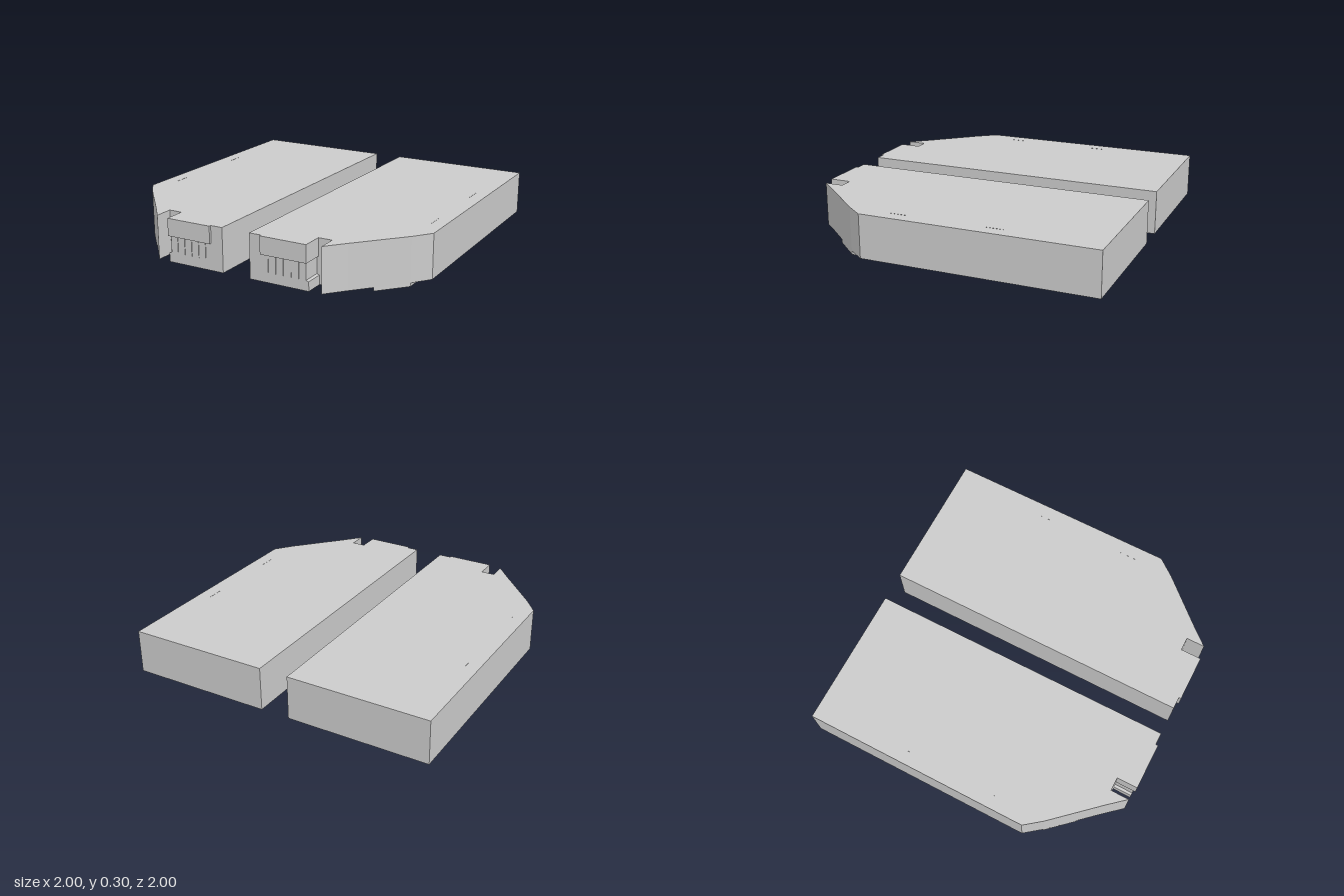
import * as THREE from 'three';

const material = new THREE.MeshStandardMaterial({ color: 0xcccccc, flatShading: true });

export function createModel() {
  const root = new THREE.Group();

  for (const s of [1, -1]) {
    const half = new THREE.Group();
    half.name = s > 0 ? 'leftHalf' : 'rightHalf';
    root.add(half);

    const add = (name, geometry) => {
      const mesh = new THREE.Mesh(geometry, material);
      mesh.name = name;
      half.add(mesh);
    };
    const extrude = (points, depth) => new THREE.ExtrudeGeometry(
      new THREE.Shape(points.map(([x, y]) => new THREE.Vector2(s * x, y))),
      { depth, bevelEnabled: false });
    // plan outline in (x, z), raised from y0 to y1
    const slab = (name, points, y0, y1) => add(name,
      extrude(points.map(([x, z]) => [x, -z]), y1 - y0).rotateX(-Math.PI / 2).translate(0, y0, 0));
    // box given by its limits
    const box = (name, x0, x1, y0, y1, z0, z1) => add(name,
      new THREE.BoxGeometry(x1 - x0, y1 - y0, z1 - z0)
        .translate(s * (x0 + x1) / 2, (y0 + y1) / 2, (z0 + z1) / 2));

    // main slab with the tapered front corner and its pointed tip
    slab('mainBody', [[0.093, -1], [1, -1], [1, 0.48], [0.915, 0.59], [0.66, 0.87],
      [0.56, 0.985], [0.56, 0.865], [0.093, 0.865]], 0.022, 0.3);

    // front nose with a stepped outer side beside the notch
    add('frontNose', extrude([[0.093, 0.022], [0.48, 0.022], [0.48, 0.08], [0.463, 0.085],
      [0.463, 0.19], [0.473, 0.19], [0.473, 0.3], [0.093, 0.3]], 0.12).translate(0, 0, 0.865));
    box('frontLip', 0.172, 0.473, 0.19, 0.3, 0.985, 1);

    // upright ribs under the lip
    for (let i = 0; i < 5; i++) {
      const x = 0.215 + i * 0.05;
      box('frontRib', x - 0.003, x + 0.003, 0.085, 0.19, 0.98, 0.989);
    }

    // foot under the tapered corner
    slab('cornerFoot', [[0.915, 0.48], [0.915, 0.59], [0.765, 0.755]], 0, 0.022);

    // fine seams on the top
    for (const z of [-0.34, 0.27]) box('topSeam', 0.914, 0.918, 0.298, 0.301, z - 0.06, z + 0.06);
  }
  return root;
}
